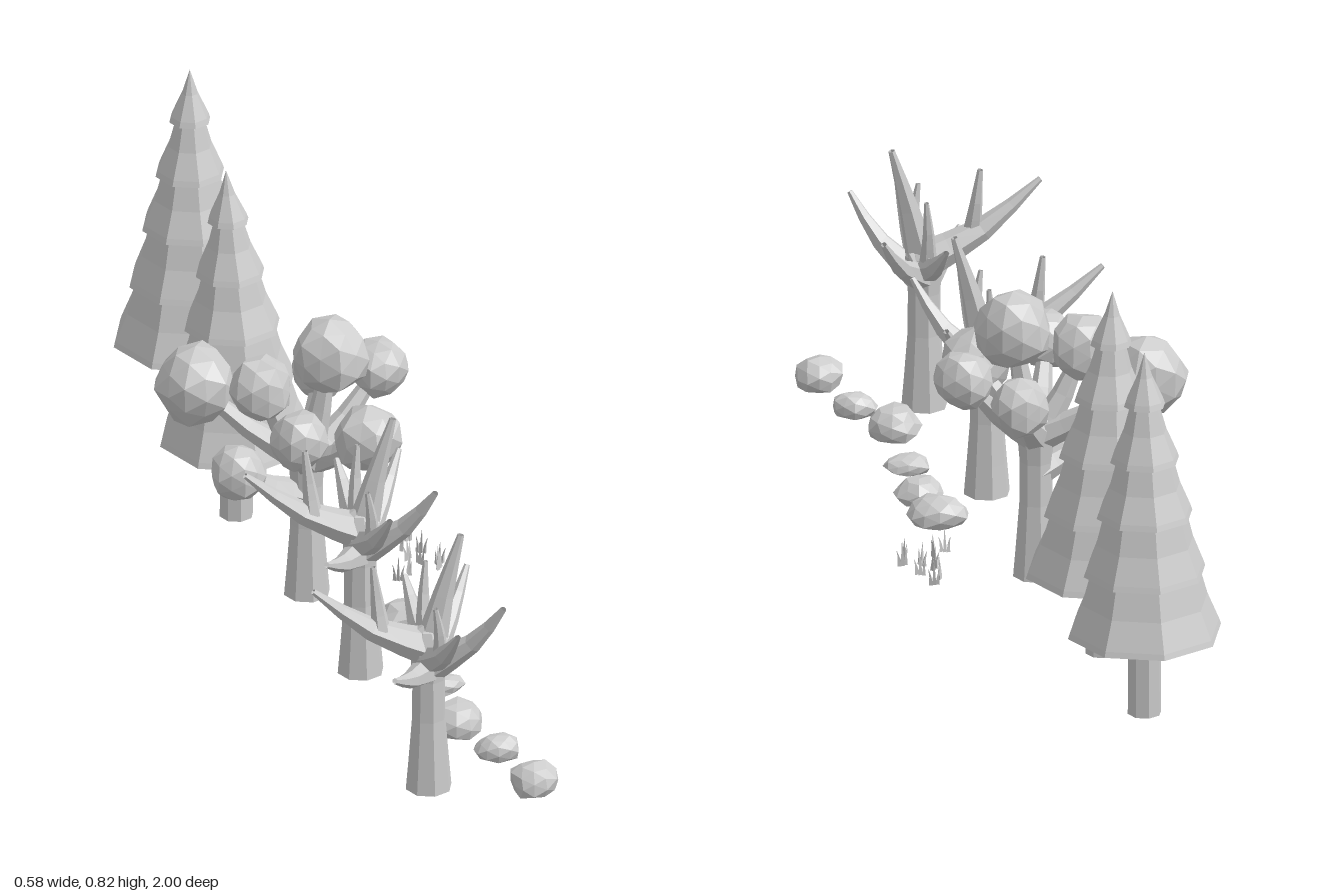
import * as THREE from 'three';
import { mergeVertices } from 'three/addons/utils/BufferGeometryUtils.js';

const mat = new THREE.MeshStandardMaterial({ color: 0xcccccc, flatShading: true, side: THREE.DoubleSide });
const V = (a) => new THREE.Vector3(...a);

function part(name, geometry, parent, pos = [0, 0, 0]) {
  const m = new THREE.Mesh(geometry, mat);
  m.name = name;
  m.position.set(...pos);
  parent.add(m);
  return m;
}

// tapered faceted limb along a few points
function limb(points, r0, r1, sides = 6) {
  const curve = new THREE.CatmullRomCurve3(points.map(V));
  const n = 4, g = new THREE.TubeGeometry(curve, n, 1, sides);
  const p = g.attributes.position, v = new THREE.Vector3();
  for (let i = 0; i < p.count; i++) {
    const t = Math.floor(i / (sides + 1)) / n, c = curve.getPointAt(t);
    v.fromBufferAttribute(p, i).sub(c).multiplyScalar(r0 + (r1 - r0) * t).add(c);
    p.setXYZ(i, v.x, v.y, v.z);
  }
  return g;
}

// faceted lump: uneven icosphere, optionally cut flat at the bottom
function lump(rx, ry, rz, seed, rough, floor = -2) {
  let g = new THREE.IcosahedronGeometry(1, 1);
  g.deleteAttribute('normal');
  g.deleteAttribute('uv');
  g = mergeVertices(g, 1e-3);
  const p = g.attributes.position;
  for (let i = 0; i < p.count; i++) {
    const h = Math.sin((i + 1) * 12.9898 + seed * 78.233) * 43758.5453;
    const k = 1 + rough * (h - Math.floor(h) - 0.6);
    p.setXYZ(i, p.getX(i) * k * rx, Math.max(p.getY(i) * k, floor) * ry, p.getZ(i) * k * rz);
  }
  g.computeVertexNormals();
  return g;
}

// eight-sided flared trunk
function trunk(parent, height) {
  const pts = [[0, 0], [0.048, 0], [0.042, 0.07], [0.035, 0.16], [0.034, 0.25], [0.04, height - 0.03], [0.025, height], [0, height + 0.015]];
  part('trunk', new THREE.LatheGeometry(pts.map((a) => new THREE.Vector2(...a)), 8), parent);
}

function pine(name, pos, lean) {
  const tree = new THREE.Group();
  tree.name = name;
  tree.position.set(...pos);
  part('pineTrunk', new THREE.CylinderGeometry(0.033, 0.035, 0.25, 8), tree, [0, 0.125, 0]);
  const rims = [[0.178, 0.16], [0.31, 0.127], [0.435, 0.1], [0.555, 0.072], [0.675, 0.043], [0.79, 0.014]];
  for (let i = 0; i < 5; i++) {
    const [y, r] = rims[i], [top, next] = rims[i + 1];
    // sloping skirt with an inward underside
    const profile = [[0.028, y + 0.01], [r - 0.012, y + 0.002], [r, y], [r - 0.004, y + 0.012],
      [(r + next) / 2 - 0.012, (y + top) / 2 + 0.005], [i < 4 ? next - 0.016 : 0, top + (i < 4 ? 0.012 : 0)]];
    const g = new THREE.LatheGeometry(profile.map((a) => new THREE.Vector2(...a)), 8);
    const p = g.attributes.position;
    for (let k = 0; k < p.count; k++) p.setX(k, p.getX(k) + lean * (p.getY(k) - 0.17));
    part('foliageTier', g, tree);
  }
  return tree;
}

function bareTree(name, pos) {
  const tree = new THREE.Group();
  tree.name = name;
  tree.position.set(...pos);
  trunk(tree, 0.36);
  // points run from the trunk to the tip, then base and tip radius
  const branches = [
    [[[0.02, 0.31, 0], [-0.12, 0.375, -0.005], [-0.24, 0.475, -0.01]], 0.042, 0.006],
    [[[-0.1, 0.37, 0], [-0.105, 0.43, -0.01], [-0.113, 0.51, -0.015]], 0.02, 0.006],
    [[[0, 0.3, 0], [0.03, 0.43, 0], [0.068, 0.565, 0]], 0.036, 0.007],
    [[[0, 0.29, 0], [0.005, 0.35, 0.1], [0.01, 0.43, 0.18]], 0.034, 0.006],
    [[[0, 0.3, 0], [0, 0.34, -0.09], [-0.003, 0.4, -0.165]], 0.034, 0.006],
    [[[0, 0.27, 0], [0.08, 0.35, 0.06], [0.128, 0.44, 0.105]], 0.034, 0.006],
    [[[0, 0.28, 0], [0.07, 0.34, -0.08], [0.12, 0.42, -0.135]], 0.032, 0.006],
    [[[0, 0.27, 0], [-0.06, 0.29, 0.075], [-0.11, 0.325, 0.135]], 0.032, 0.006],
    [[[0.005, 0.34, -0.05], [0.008, 0.4, -0.065], [0.015, 0.475, -0.075]], 0.018, 0.005],
    [[[0.005, 0.33, 0.07], [0.0, 0.39, 0.08], [-0.01, 0.45, 0.085]], 0.018, 0.005],
  ];
  for (const [pts, r0, r1] of branches) part('branch', limb(pts, r0, r1), tree);
  return tree;
}

function leafyTree(pos) {
  const tree = new THREE.Group();
  tree.name = 'leafyTree';
  tree.position.set(...pos);
  trunk(tree, 0.35);
  // leaf clump centre and radius, each carried by its own branch
  const clumps = [
    [-0.205, 0.455, -0.1, 0.083], [-0.1, 0.485, 0.01, 0.068], [0.045, 0.54, 0.01, 0.08],
    [0.07, 0.43, -0.14, 0.06], [0.165, 0.465, -0.05, 0.06], [-0.065, 0.44, 0.165, 0.06],
    [0.085, 0.415, 0.15, 0.07], [-0.15, 0.305, 0.02, 0.058],
  ];
  clumps.forEach(([x, y, z, r], i) => {
    const low = Math.min(0.3, y - 0.08);
    part('branch', limb([[0, low, 0], [x * 0.5, low + (y - low) * 0.4, z * 0.5], [x, y, z]], 0.033, 0.012), tree);
    part('leafClump', lump(r, r * 1.05, r, i + 2, 0.16), tree, [x, y, z]);
  });
  return tree;
}

export function createModel() {
  const model = new THREE.Group();
  model.name = 'forestSet';
  model.add(
    pine('backPine', [-0.022, 0.028, -0.845], 0),
    pine('frontPine', [-0.036, 0, -0.458], -0.035),
    leafyTree([0, 0.015, -0.07]),
    bareTree('middleBareTree', [0, 0.035, 0.32]),
    bareTree('frontBareTree', [0, 0.022, 0.815]),
  );

  // row of flat-bottomed rocks: x, z, half width, half depth, top height
  const rocks = [
    [0.138, 0.177, 0.062, 0.052, 0.1], [0.147, 0.3, 0.05, 0.05, 0.092], [0.13, 0.455, 0.047, 0.037, 0.076],
    [0.112, 0.635, 0.06, 0.053, 0.107], [0.16, 0.763, 0.047, 0.036, 0.092], [0.19, 0.923, 0.051, 0.051, 0.105],
  ];
  rocks.forEach(([x, z, w, d, top], i) => {
    const ry = (top - 0.037) / 1.6;
    part('rock', lump(w, ry, d, i + 11, 0.22, -0.6), model, [x, 0.037 + 0.6 * ry, z]).rotation.y = i % 2 ? 0.3 : -0.2;
  });

  // grass tufts, three thin blades each
  const tufts = [[0.235, -0.157], [0.215, -0.125], [0.25, -0.1], [0.215, -0.08], [0.235, -0.055],
    [0.272, -0.045], [0.2, -0.02], [0.172, 0.003], [0.265, -0.025]];
  tufts.forEach(([x, z], i) => {
    const tuft = new THREE.Group();
    tuft.name = 'grassTuft';
    tuft.position.set(x, 0.053, z);
    tuft.rotation.y = i * 1.3;
    for (let k = -1; k <= 1; k++) {
      const h = k ? 0.033 : 0.05;
      part('blade', limb([[k * 0.007, 0, 0], [k * 0.008, h / 2, 0.001], [k * 0.012, h, 0.003]], 0.005, 0.0005, 3), tuft);
    }
    model.add(tuft);
  });
  return model;
}
